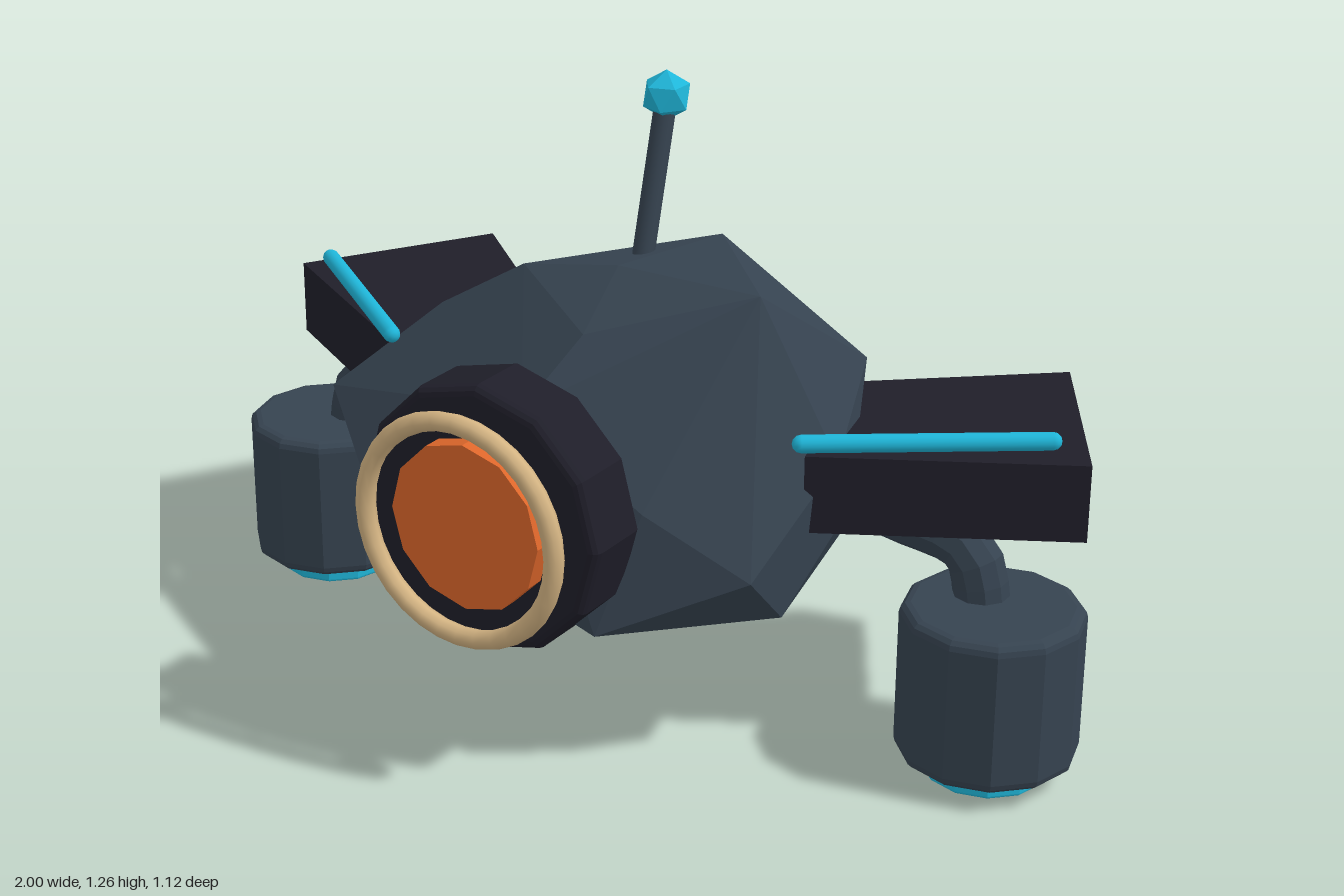
import * as THREE from 'three';
import { ConvexGeometry } from 'three/addons/geometries/ConvexGeometry.js';

const V = (x, y, z) => new THREE.Vector3(x, y, z);

function material(name, color, flatShading = true) {
  const m = new THREE.MeshStandardMaterial({ color, flatShading });
  m.name = name;
  return m;
}

function add(parent, name, geometry, mat, pos = V(0, 0, 0)) {
  const mesh = new THREE.Mesh(geometry, mat);
  mesh.name = name;
  mesh.position.copy(pos);
  parent.add(mesh);
  return mesh;
}

// Upright drum with rounded rims
function drum(r, h, bevel, sides = 12) {
  const p = [[0, -h / 2]];
  for (let i = 0; i <= 3; i++) {
    const a = (i / 3) * Math.PI / 2;
    p.push([r - bevel + bevel * Math.sin(a), -h / 2 + bevel - bevel * Math.cos(a)]);
  }
  const half = p.map(([x, y]) => new THREE.Vector2(x, y));
  const top = half.slice().reverse().map(q => new THREE.Vector2(q.x, -q.y));
  return new THREE.LatheGeometry(half.concat(top), sides);
}

// Round bar with domed ends between two points
function bar(parent, name, a, b, r, mat) {
  const mesh = add(parent, name, new THREE.CapsuleGeometry(r, a.distanceTo(b) - 2 * r, 3, 14), mat,
    a.clone().add(b).multiplyScalar(0.5));
  mesh.quaternion.setFromUnitVectors(V(0, 1, 0), b.clone().sub(a).normalize());
  return mesh;
}

export function createModel() {
  const model = new THREE.Group();
  model.name = 'hoverDrone';
  const hull = material('charcoal hull', 0x364350);
  const dark = material('near black', 0x1f1e29);
  const cyan = material('cyan glow', 0x1fb6d9, false);
  const crystal = cyan.clone();
  crystal.name = 'cyan crystal';
  crystal.flatShading = true;
  const orange = material('orange lens', 0xde672b);
  const sand = material('sand trim', 0xd4b483, false);
  const rod = hull.clone();
  rod.name = 'charcoal rod';
  rod.flatShading = false;

  // Faceted, slightly lopsided rock-like body
  const corners = [
    [0.11, 0.93, -0.21], [0.34, 0.92, 0.02], [0, 0.905, 0], [-0.23, 0.86, 0], [0.05, 0.835, 0.195],
    [0.46, 0.75, -0.19], [0.18, 0.75, -0.375], [-0.44, 0.73, 0], [-0.2, 0.76, -0.27], [0, 0.715, 0.33],
    [0.52, 0.62, 0.02], [0.52, 0.5, -0.03], [0.27, 0.56, 0.32], [0.47, 0.44, 0.25], [-0.36, 0.46, 0.36],
    [-0.61, 0.56, 0.16], [-0.34, 0.6, -0.31], [-0.44, 0.6, -0.2], [0.3, 0.55, -0.3],
    [0.48, 0.33, 0.15], [0.21, 0.315, 0.393], [-0.42, 0.33, 0.15], [-0.31, 0.19, -0.02], [0, 0.16, -0.02],
    [0.25, 0.19, 0], [0, 0.22, 0.195], [0.12, 0.3, -0.35], [-0.2, 0.32, -0.33], [-0.05, 0.23, -0.26],
    [0.42, 0.36, -0.18], [-0.42, 0.42, -0.16]
  ];
  add(model, 'body', new ConvexGeometry(corners.map(c => V(...c))), hull);

  // Front eye: housing, lens and trim ring
  const eye = new THREE.Group();
  eye.name = 'eye';
  eye.position.set(0, 0.54, 0);
  model.add(eye);
  add(eye, 'eyeHousing', drum(0.276, 0.15, 0.02), dark, V(0, 0, 0.405)).rotation.x = Math.PI / 2;
  add(eye, 'eyeLens', new THREE.CylinderGeometry(0.171, 0.171, 0.08, 12), orange, V(0, 0, 0.48))
    .rotation.x = Math.PI / 2;
  add(eye, 'eyeRing', new THREE.TorusGeometry(0.221, 0.02, 8, 32), sand, V(0, 0, 0.538));

  // Leaning antenna with a crystal tip
  bar(model, 'antennaRod', V(0, 0.82, -0.068), V(0, 1.2, -0.168), 0.0225, rod);
  const tip = new THREE.IcosahedronGeometry(0.052, 0);
  tip.rotateZ(Math.atan(2 / (1 + Math.sqrt(5))));
  add(model, 'antennaTip', tip, crystal, V(0, 1.211, -0.17));

  for (const [side, s] of [['left', 1], ['right', -1]]) {
    const half = new THREE.Group();
    half.name = side + 'Side';
    model.add(half);

    // Swept wing block, drawn in plan and extruded upward
    const plan = [[0.725, -0.56], [0.39, -0.275], [0.49, 0.095], [0.96, -0.17]];
    const shape = new THREE.Shape(plan.map(([x, z]) => new THREE.Vector2(s * x, -z)));
    const wing = new THREE.ExtrudeGeometry(shape, { depth: 0.16, bevelEnabled: false });
    wing.rotateX(-Math.PI / 2);
    add(half, side + 'Wing', wing, dark, V(0, 0.492, 0));

    // Light strip hovering over the wing's leading edge
    bar(half, side + 'LightStrip', V(s * 0.892, 0.684, -0.178), V(s * 0.475, 0.684, 0.12), 0.018, cyan);

    // Bent strut
    const path = new THREE.CatmullRomCurve3([
      V(s * 0.32, 0.52, -0.105), V(s * 0.58, 0.482, -0.105), V(s * 0.745, 0.445, -0.107), V(s * 0.785, 0.3, -0.107)
    ]);
    add(half, side + 'Strut', new THREE.TubeGeometry(path, 14, 0.056, 10), hull);

    // Thruster pod and its glowing pad
    add(half, side + 'Pod', drum(0.181, 0.32, 0.022), hull, V(s * 0.818, 0.2, -0.077));
    add(half, side + 'Pad', drum(0.125, 0.034, 0.006), crystal, V(s * 0.818, 0.017, -0.077));
  }
  return model;
}
